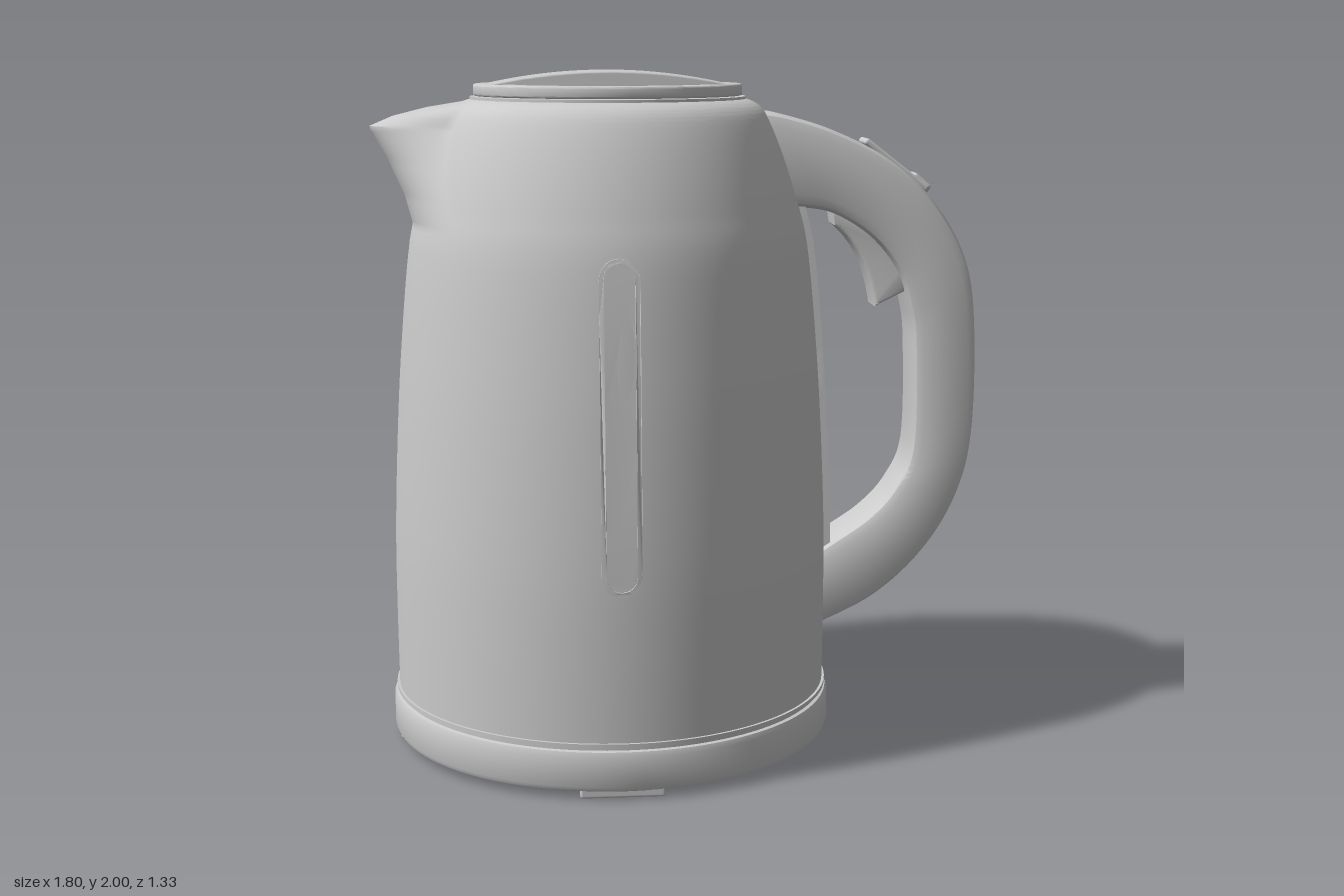
import * as THREE from 'three';
import { mergeVertices, toCreasedNormals } from 'three/addons/utils/BufferGeometryUtils.js';
import { RoundedBoxGeometry } from 'three/addons/geometries/RoundedBoxGeometry.js';

const AXIS = -0.2; // x of the jug's vertical axis
const grey = new THREE.MeshStandardMaterial({ color: 0xcccccc });
const v2 = (list) => list.map(([x, y]) => new THREE.Vector2(x, y));

function add(parent, name, geometry, x = 0, y = 0, z = 0) {
  const mesh = new THREE.Mesh(geometry, grey);
  mesh.name = name;
  mesh.position.set(x, y, z);
  parent.add(mesh);
  return mesh;
}

// Linear lookup in [key, value] pairs sorted by key
function lookup(table, key) {
  if (key <= table[0][0]) return table[0][1];
  for (let i = 1; i < table.length; i++) {
    const [k0, a] = table[i - 1], [k1, b] = table[i];
    if (key <= k1) return a + ((b - a) * (key - k0)) / (k1 - k0);
  }
  return table[table.length - 1][1];
}

// Side wall of the jug, bottom to top
const wall = new THREE.SplineCurve(v2([
  [0.65, 0.14], [0.652, 0.4], [0.65, 0.65], [0.637, 0.95], [0.62, 1.2], [0.592, 1.48],
  [0.56, 1.62], [0.52, 1.75], [0.48, 1.85], [0.45, 1.895], [0.41, 1.917], [0.37, 1.92],
])).getPoints(120);
const wallTable = wall.map((p) => [p.y, p.x]);
const wallRadius = (y) => lookup(wallTable, y);

// Reach of the spout's centre line from the axis, by height
const spoutReach = [[1.5, 0.59], [1.56, 0.578], [1.64, 0.6], [1.74, 0.645], [1.84, 0.7],
  [1.87, 0.63], [1.895, 0.53], [1.92, 0.37]];

// Revolved wall with its -x side drawn out into the spout
function bodyGeometry() {
  const geo = new THREE.LatheGeometry([...wall, new THREE.Vector2(0, 1.92)], 192);
  const pos = geo.attributes.position;
  for (let i = 0; i < pos.count; i++) {
    const x = pos.getX(i), y = pos.getY(i), z = pos.getZ(i);
    const r = Math.hypot(x, z);
    if (x > 0 || y < 1.5 || r < 0.36) continue;
    const push = Math.max(0, lookup(spoutReach, y) - wallRadius(y));
    const width = 0.165 + Math.max(0, 1.84 - y) * 0.7;
    const k = Math.max(0, 1 - (z / width) ** 2);
    pos.setX(i, x - push * k ** 1.2);
  }
  geo.deleteAttribute('uv');
  geo.deleteAttribute('normal');
  return toCreasedNormals(mergeVertices(geo, 1e-4), 0.7);
}

// Upright capsule outline with points along its sides so it can be bent
function capsulePoints(w, y0, y1) {
  const pts = [];
  for (let i = 0; i <= 12; i++) {
    const a = Math.PI + (i / 12) * Math.PI;
    pts.push([w * Math.cos(a), y0 + w + w * Math.sin(a)]);
  }
  for (let i = 1; i < 20; i++) pts.push([w, y0 + w + ((y1 - y0 - 2 * w) * i) / 20]);
  for (let i = 0; i <= 12; i++) {
    const a = (i / 12) * Math.PI;
    pts.push([w * Math.cos(a), y1 - w + w * Math.sin(a)]);
  }
  for (let i = 19; i > 0; i--) pts.push([-w, y0 + w + ((y1 - y0 - 2 * w) * i) / 20]);
  return v2(pts);
}

// Lay a flat extrusion on the wall, facing +z
function onWall(shape, depth, lift) {
  const geo = new THREE.ExtrudeGeometry(shape, { depth, bevelEnabled: false });
  const pos = geo.attributes.position;
  for (let i = 0; i < pos.count; i++) {
    const r = wallRadius(pos.getY(i)), x = pos.getX(i);
    pos.setZ(i, Math.sqrt(r * r - x * x) + pos.getZ(i) - depth + lift);
  }
  return toCreasedNormals(geo, 0.6);
}

// Rimmed strip, used for the windows and the panel behind the handle
function strip(parent, name, w, y0, y1, rim, lift, angle) {
  const group = new THREE.Group();
  group.name = name;
  const frame = new THREE.Shape(capsulePoints(w, y0, y1));
  frame.holes.push(new THREE.Path(capsulePoints(w - rim, y0 + rim, y1 - rim)));
  add(group, name + 'Rim', onWall(frame, 0.03, lift));
  add(group, name + 'Pane', onWall(new THREE.Shape(capsulePoints(w - rim, y0 + rim, y1 - rim)), 0.02, lift * 0.35));
  group.position.x = AXIS;
  group.rotation.y = angle;
  parent.add(group);
}

// Handle lofted between its outer and inner edge curves
function handleGeometry() {
  const outer = new THREE.SplineCurve(v2([[0.22, 1.885], [0.3, 1.875], [0.45, 1.83], [0.62, 1.745], [0.76, 1.62],
    [0.86, 1.45], [0.895, 1.25], [0.895, 0.92], [0.85, 0.72], [0.75, 0.55], [0.6, 0.41], [0.4, 0.31]]));
  const inner = new THREE.SplineCurve(v2([[0.32, 1.6], [0.38, 1.6], [0.47, 1.58], [0.58, 1.51], [0.66, 1.41],
    [0.695, 1.3], [0.71, 1.18], [0.71, 0.88], [0.66, 0.75], [0.58, 0.66], [0.47, 0.585], [0.4, 0.54]]));
  // Half section: u runs from inner to outer edge; a seam is notched at z = 0
  const half = [[0.95, 0.004], [1, 0.009], [1, 0.08], [0.96, 0.1], [0.85, 0.111],
    [0.15, 0.111], [0.04, 0.1], [0, 0.08]];
  const ring = [...half.map(([u, z]) => [u, -z]).reverse(), ...half];
  const n = ring.length, steps = 72, verts = [], index = [];
  for (let s = 0; s <= steps; s++) {
    const a = outer.getPoint(s / steps), b = inner.getPoint(s / steps);
    for (const [u, z] of ring) verts.push(b.x + (a.x - b.x) * u, b.y + (a.y - b.y) * u, z);
    if (s === steps) break;
    for (let i = 0; i < n; i++) {
      const p = s * n + i, q = s * n + ((i + 1) % n);
      index.push(p, q, q + n, p, q + n, p + n);
    }
  }
  const geo = new THREE.BufferGeometry();
  geo.setAttribute('position', new THREE.Float32BufferAttribute(verts, 3));
  geo.setIndex(index);
  return toCreasedNormals(geo, 0.7);
}

function extrudeZ(shape, width, bevel) {
  const geo = new THREE.ExtrudeGeometry(shape, {
    depth: width - 2 * bevel, bevelEnabled: bevel > 0, bevelSize: bevel, bevelThickness: bevel,
    bevelOffset: -bevel, bevelSegments: 3, curveSegments: 48,
  });
  geo.translate(0, 0, -(width - 2 * bevel) / 2);
  return toCreasedNormals(geo, 0.6);
}

// Lid disc with two crescent finger wells and an arched grip between them
function buildLid(parent) {
  const lid = new THREE.Group();
  lid.name = 'lid';
  lid.position.x = AXIS;
  const disc = new THREE.Shape().absarc(0, 0, 0.395, 0, Math.PI * 2);
  for (const side of [1, -1]) {
    const pts = [];
    for (let i = 0; i <= 32; i++) {
      const a = (i / 32) * Math.PI;
      pts.push([0.265 * Math.cos(a), side * (0.148 + 0.16 * Math.sin(a) ** 1.2)]);
    }
    disc.holes.push(new THREE.Path(v2(pts)));
  }
  const plate = extrudeZ(disc, 0.034, 0.006);
  plate.rotateX(-Math.PI / 2);
  add(lid, 'lidPlate', plate, 0, 1.945, 0);
  add(lid, 'lidSeam', new THREE.CylinderGeometry(0.405, 0.405, 0.016, 96), 0, 1.918, 0);
  const arch = [[-0.36, 1.93]];
  for (let i = 0; i <= 32; i++) {
    const t = i / 16 - 1;
    arch.push([t * 0.36, 1.96 + 0.04 * (1 - t * t)]);
  }
  arch.push([0.36, 1.93]);
  add(lid, 'lidGrip', extrudeZ(new THREE.Shape(v2(arch)), 0.3, 0.006));
  parent.add(lid);
}

export function createModel() {
  const model = new THREE.Group();
  model.name = 'kettle';

  add(model, 'body', bodyGeometry(), AXIS);
  const base = new THREE.LatheGeometry(v2([[0, 0.02], [0.645, 0.02], [0.66, 0.027], [0.666, 0.04],
    [0.666, 0.125], [0.66, 0.14], [0.64, 0.145], [0.64, 0.16]]), 128);
  add(model, 'baseRing', toCreasedNormals(base, 0.7), AXIS);
  add(model, 'baseLip', new THREE.CylinderGeometry(0.658, 0.658, 0.012, 128), AXIS, 0.157, 0);

  // Four feet around the rim
  for (let i = 0; i < 4; i++) {
    const a = (i * Math.PI) / 2;
    const foot = add(model, 'foot', new RoundedBoxGeometry(0.24, 0.04, 0.12, 2, 0.008),
      AXIS + 0.585 * Math.sin(a), 0.02, 0.585 * Math.cos(a));
    foot.rotation.y = a;
  }

  // Water windows on both sides, panel behind the handle
  strip(model, 'windowFront', 0.056, 0.585, 1.51, 0.013, 0.009, 0);
  strip(model, 'windowBack', 0.056, 0.585, 1.51, 0.013, 0.009, Math.PI);
  strip(model, 'handlePanel', 0.085, 0.45, 1.7, 0.025, 0.02, Math.PI / 2);

  buildLid(model);

  // Handle, trigger under it and catch on top
  add(model, 'handle', handleGeometry());
  const trigger = new THREE.Shape();
  trigger.moveTo(0.46, 1.6);
  trigger.lineTo(0.47, 1.545);
  trigger.quadraticCurveTo(0.57, 1.47, 0.595, 1.3);
  trigger.lineTo(0.685, 1.345);
  trigger.lineTo(0.72, 1.45);
  trigger.lineTo(0.62, 1.6);
  add(model, 'trigger', extrudeZ(trigger, 0.13, 0.012));
  const plate = add(model, 'catchPlate', new RoundedBoxGeometry(0.24, 0.02, 0.11, 3, 0.008), 0.655, 1.722, 0);
  const knob = add(model, 'catchKnob', new RoundedBoxGeometry(0.07, 0.04, 0.08, 3, 0.012), 0.728, 1.664, 0);
  plate.rotation.z = -0.66;
  knob.rotation.z = -0.72;

  return model;
}
